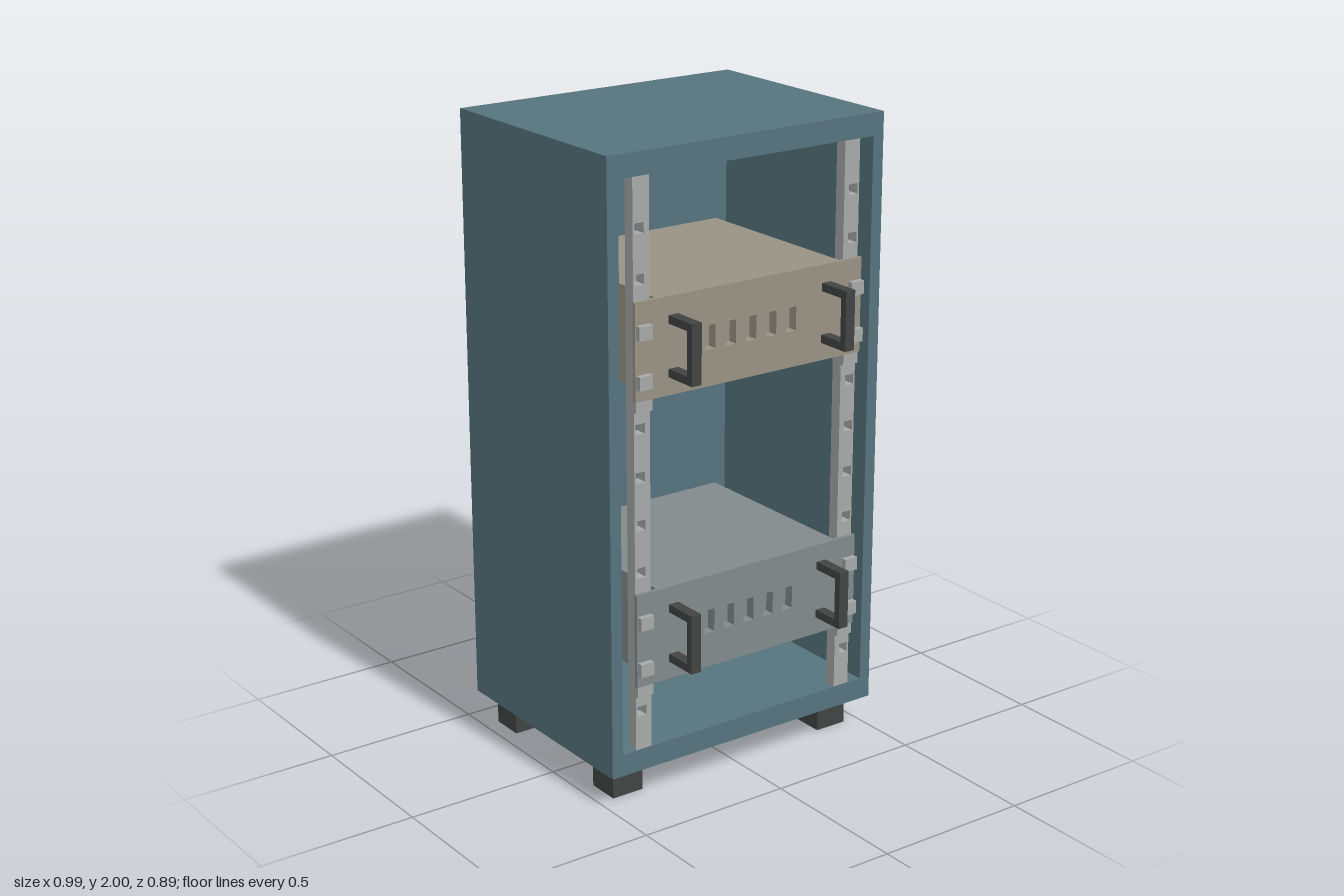
import * as THREE from 'three';

const paint = (color) => new THREE.MeshStandardMaterial({ color });
const teal = paint(0x56737d), steel = paint(0xa6a9a8), dark = paint(0x404443);
const beige = paint(0x999284), grey = paint(0x818a8b);

// Box given by its limits on each axis
function box(parent, name, mat, [x0, x1], [y0, y1], [z0, z1]) {
  const mesh = new THREE.Mesh(new THREE.BoxGeometry(x1 - x0, y1 - y0, z1 - z0), mat);
  mesh.position.set((x0 + x1) / 2, (y0 + y1) / 2, (z0 + z1) / 2);
  mesh.name = name;
  parent.add(mesh);
  return mesh;
}

function rect(path, x0, x1, y0, y1) {
  path.moveTo(x0, y0);
  path.lineTo(x1, y0);
  path.lineTo(x1, y1);
  path.lineTo(x0, y1);
  path.closePath();
  return path;
}

// Plate in the xy plane with rectangular holes, each [cx, cy, w, h]
function plate(parent, name, mat, [x0, x1], [y0, y1], [z0, z1], holes) {
  const shape = rect(new THREE.Shape(), x0, x1, y0, y1);
  for (const [cx, cy, w, h] of holes) {
    shape.holes.push(rect(new THREE.Path(), cx - w / 2, cx + w / 2, cy - h / 2, cy + h / 2));
  }
  const mesh = new THREE.Mesh(
    new THREE.ExtrudeGeometry(shape, { depth: z1 - z0, bevelEnabled: false }), mat);
  mesh.position.z = z0;
  mesh.name = name;
  parent.add(mesh);
}

// U-shaped pull handle standing out from the panel
function handle(parent, x) {
  const s = new THREE.Shape();
  [[0, 0], [0.115, 0], [0.115, 0.185], [0, 0.185], [0, 0.16], [0.092, 0.16], [0.092, 0.025], [0, 0.025]]
    .forEach(([a, b], i) => (i ? s.lineTo(a, b) : s.moveTo(a, b)));
  const geo = new THREE.ExtrudeGeometry(s, { depth: 0.034, bevelEnabled: false });
  geo.translate(0, 0, -0.017);
  geo.rotateY(-Math.PI / 2);
  const mesh = new THREE.Mesh(geo, dark);
  mesh.position.set(x, -0.093, 0.33);
  mesh.name = 'handle';
  parent.add(mesh);
}

// Rack unit: slotted panel, body, handles, brackets and bolts
function rackUnit(name, mat, y) {
  const unit = new THREE.Group();
  unit.name = name;
  unit.position.y = y;
  const slots = [-2, -1, 0, 1, 2].map((i) => [i * 0.074, 0, 0.037, 0.074]);
  const height = [-0.148, 0.148];
  plate(unit, 'facePanel', mat, [-0.412, 0.412], height, [0.32, 0.332], slots);
  plate(unit, 'slotCollar', mat, [-0.335, 0.335], height, [0.3, 0.32], slots);
  box(unit, 'unitBody', mat, [-0.335, 0.335], height, [-0.29, 0.3]);
  for (const s of [-1, 1]) {
    handle(unit, s * 0.279);
    const cx = s * 0.386;
    box(unit, 'mountTab', steel, [s * 0.38 - 0.028, s * 0.38 + 0.028], [-0.183, -0.148], [0.318, 0.33]);
    for (const by of [-0.089, 0.059]) {
      box(unit, 'bolt', steel, [cx - 0.023, cx + 0.023], [by - 0.021, by + 0.021], [0.33, 0.35]);
    }
  }
  return unit;
}

export function createModel() {
  const model = new THREE.Group();
  model.name = 'equipmentRack';

  // Open-fronted cabinet
  plate(model, 'cabinetShell', teal, [-0.495, 0.495], [0.105, 2], [-0.4, 0.32],
    [[0, 1.0525, 0.914, 1.755]]);
  box(model, 'backPanel', teal, [-0.495, 0.495], [0.105, 2], [-0.447, -0.4]);

  // Mounting rails with square holes
  const holes = Array.from({ length: 11 }, (_, i) => 1.78 - i * 0.148);
  for (const s of [-1, 1]) {
    const cx = s * 0.38;
    plate(model, 'mountingRail', steel, [cx - 0.028, cx + 0.028], [0.175, 1.93], [0.28, 0.318],
      holes.map((y) => [s * 0.386, y, 0.032, 0.032]));
  }

  // Equipment
  model.add(rackUnit('upperUnit', beige, 1.424), rackUnit('lowerUnit', grey, 0.534));

  // Feet
  for (const x of [-0.395, 0.395]) {
    for (const z of [0.2, -0.345]) {
      box(model, 'foot', dark, [x - 0.054, x + 0.054], [0, 0.105], [z - 0.054, z + 0.054]);
    }
  }
  return model;
}
